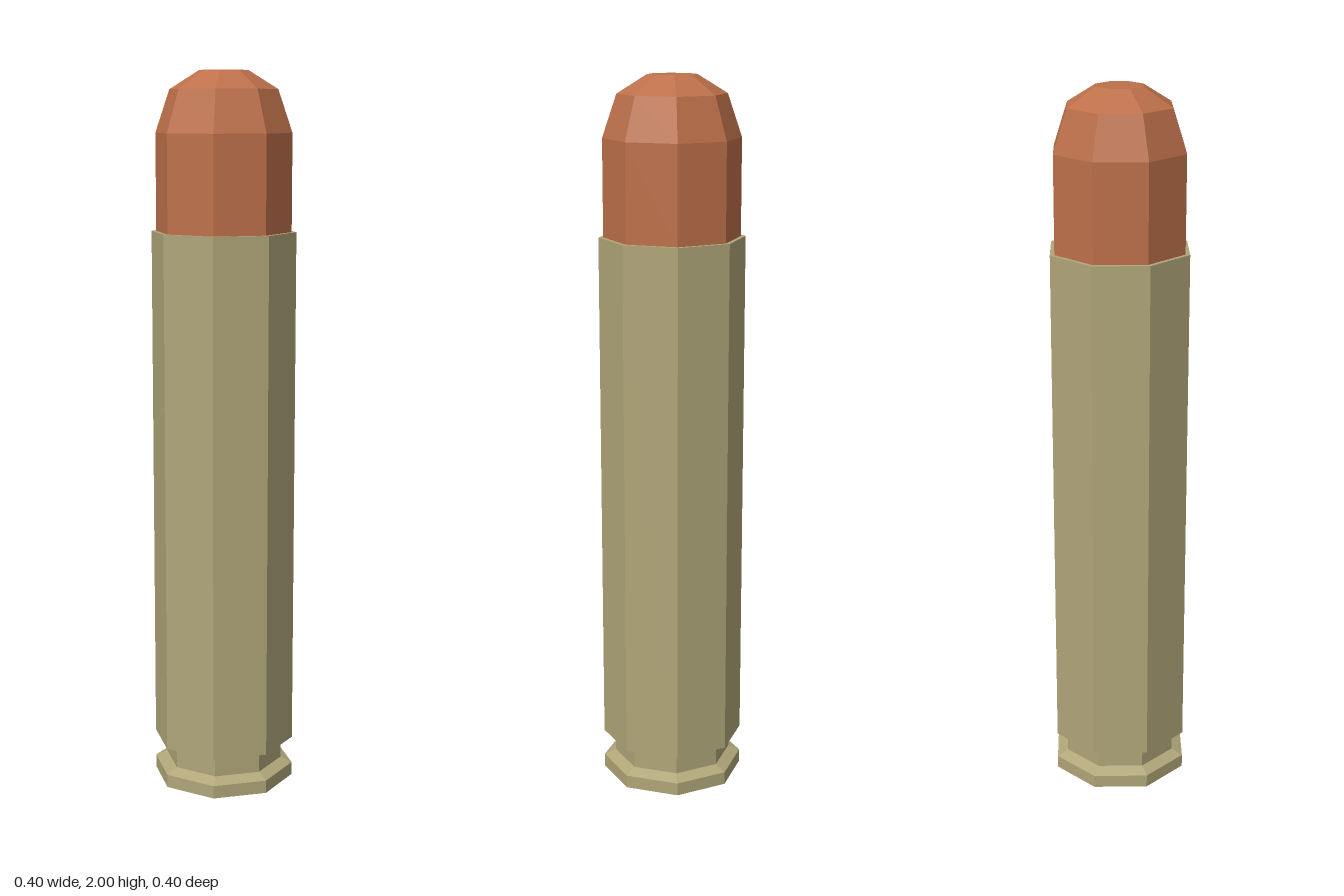
import * as THREE from 'three';

const SIDES = 8;

// Faceted solid of revolution; profile runs from bottom to top as [radius, y]
function turned(name, profile, color) {
  const points = profile.map(([r, y]) => new THREE.Vector2(r, y));
  const mesh = new THREE.Mesh(
    new THREE.LatheGeometry(points, SIDES),
    new THREE.MeshStandardMaterial({ color, flatShading: true })
  );
  mesh.name = name;
  return mesh;
}

export function createModel() {
  const group = new THREE.Group();
  group.name = 'cartridge';

  // Casing: base, rim, extractor groove, long body and mouth lip
  group.add(turned('casing', [
    [0, 0], [0.2, 0], [0.2, 0.037], [0.167, 0.052],
    [0.167, 0.102], [0.2, 0.115], [0.2, 1.57], [0.186, 1.57],
  ], 0xb0a679));

  // Bullet: straight shank, two tapered bands and a flat tip
  group.add(turned('bullet', [
    [0.187, 1.57], [0.187, 1.835], [0.148, 1.95], [0.067, 2], [0, 2],
  ], 0xbd704a));

  return group;
}
